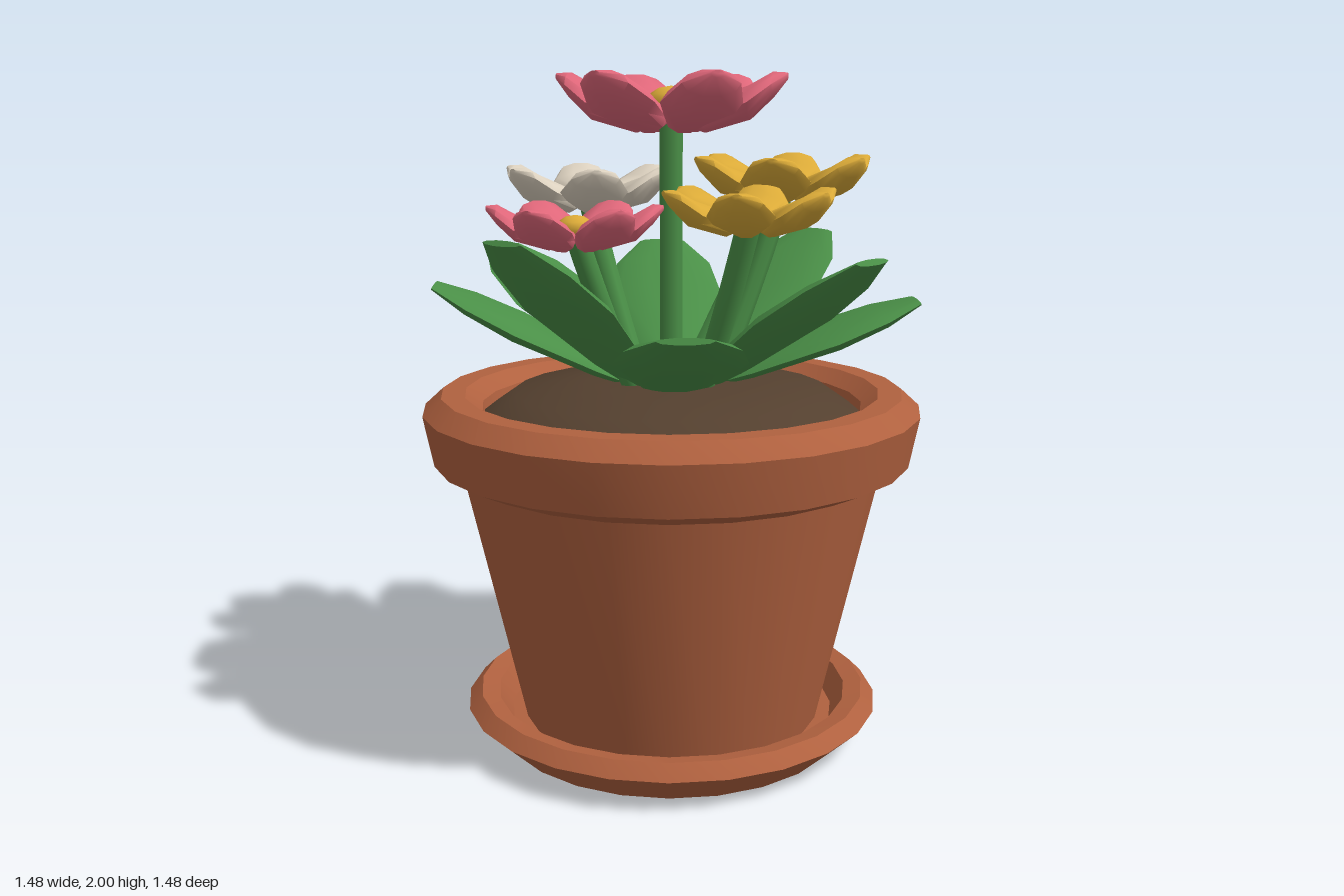
import * as THREE from 'three';
import { toCreasedNormals } from 'three/addons/utils/BufferGeometryUtils.js';

const material = (name, color) => {
  const m = new THREE.MeshStandardMaterial({ color });
  m.name = name;
  return m;
};

// Puffy blade along +x; each section is [x, centre height, half width, half thickness]
function bladeGeometry(sections, sides = 10) {
  const pos = [], index = [];
  for (const [x, y, w, h] of sections) {
    for (let j = 0; j < sides; j++) {
      const a = (j / sides) * Math.PI * 2;
      pos.push(x, y + h * Math.sin(a), w * Math.cos(a));
    }
  }
  const last = sections.length - 1;
  const start = pos.length / 3;
  pos.push(sections[0][0], sections[0][1], 0, sections[last][0], sections[last][1], 0);
  for (let j = 0; j < sides; j++) {
    const k = (j + 1) % sides;
    for (let i = 0; i < last; i++) {
      const a = i * sides, b = a + sides;
      index.push(a + j, b + j, b + k, a + j, b + k, a + k);
    }
    index.push(start, j, k, start + 1, last * sides + k, last * sides + j);
  }
  const g = new THREE.BufferGeometry();
  g.setAttribute('position', new THREE.Float32BufferAttribute(pos, 3));
  g.setIndex(index);
  return toCreasedNormals(g, 0.9);
}

function lathe(name, points, mat) {
  const profile = points.map(([r, y]) => new THREE.Vector2(r, y));
  const g = new THREE.LatheGeometry(profile, 24, Math.PI / 24);
  const mesh = new THREE.Mesh(toCreasedNormals(g, 0.6), mat);
  mesh.name = name;
  return mesh;
}

export function createModel() {
  const terracotta = material('terracotta', 0xb0613f);
  const earth = material('earth', 0x54402f);
  const green = material('leaf green', 0x4a8f47);
  const pink = material('petal pink', 0xe0677a);
  const yellow = material('petal yellow', 0xdcab38);
  const white = material('petal white', 0xddd2c0);

  const model = new THREE.Group();
  model.name = 'pottedFlowers';

  // Pot, saucer and soil
  model.add(
    lathe('saucer', [[0, 0], [0.53, 0], [0.635, 0.1], [0.595, 0.14], [0.54, 0.13], [0.5, 0.06], [0, 0.06]], terracotta),
    lathe('pot', [[0.455, 0.05], [0.63, 0.83], [0.715, 0.87], [0.745, 1.02], [0.69, 1.07],
      [0.62, 1.07], [0.57, 1.03], [0.555, 0.95]], terracotta),
    lathe('soil', [[0.57, 1.0], [0.47, 1.07], [0.25, 1.1], [0, 1.11]], earth),
  );

  // Ring of leaves: [tip radius, tip height]
  const leaves = [[0.71, 1.5], [0.72, 1.33], [0.66, 1.55], [0.7, 1.385],
    [0.75, 1.45], [0.67, 1.45], [0.7, 1.5], [0.735, 1.33]];
  leaves.forEach(([tipR, tipY], i) => {
    const baseR = 0.12, baseY = 1.09;
    const length = Math.hypot(tipR - baseR, tipY - baseY);
    const leaf = new THREE.Mesh(bladeGeometry([
      [0, 0, 0.05, 0.015],
      [0.18 * length, 0, 0.115, 0.03],
      [0.58 * length, 0, 0.185, 0.04],
      [0.82 * length, 0, 0.155, 0.03],
      [length, 0, 0.075, 0.01],
    ]), green);
    leaf.name = 'leaf' + (i + 1);
    const azimuth = THREE.MathUtils.degToRad(34 + i * 45);
    leaf.position.set(baseR * Math.cos(azimuth), baseY, baseR * Math.sin(azimuth));
    leaf.rotation.set(0, -azimuth, Math.atan2(tipY - baseY, tipR - baseR));
    model.add(leaf);
  });

  // Shared flower parts, one unit in radius
  const petalGeometry = bladeGeometry([
    [0.05, 0.17, 0.05, 0.07],
    [0.3, 0.15, 0.18, 0.14],
    [0.68, 0.27, 0.37, 0.15],
    [0.88, 0.42, 0.26, 0.11],
    [1.0, 0.49, 0.06, 0.03],
  ]);
  const buttonGeometry = new THREE.SphereGeometry(0.22, 8, 6).scale(1, 0.65, 1);

  // Flowers: x, underside y, z, radius, petal turn in degrees
  const flowers = [
    ['tallPinkFlower', pink, 0, 1.82, 0.01, 0.335, 0],
    ['whiteFlower', white, -0.295, 1.575, -0.225, 0.275, 47],
    ['backYellowFlower', yellow, 0.315, 1.61, -0.175, 0.28, 27],
    ['frontYellowFlower', yellow, 0.255, 1.55, 0.265, 0.25, 27],
    ['lowPinkFlower', pink, -0.23, 1.505, 0.275, 0.245, 11],
  ];
  for (const [name, mat, x, y, z, radius, turn] of flowers) {
    const flower = new THREE.Group();
    flower.name = name;
    flower.position.set(x, y, z);
    flower.scale.setScalar(radius);
    for (let i = 0; i < 6; i++) {
      const petal = new THREE.Mesh(petalGeometry, mat);
      petal.name = 'petal' + (i + 1);
      petal.rotation.y = THREE.MathUtils.degToRad(turn + i * 60);
      flower.add(petal);
    }
    const button = new THREE.Mesh(buttonGeometry, yellow);
    button.name = 'flowerCentre';
    button.position.y = 0.27;
    flower.add(button);

    // Stem leaning out from the middle of the pot
    const path = new THREE.QuadraticBezierCurve3(
      new THREE.Vector3(x * 0.35, 1.05, z * 0.35),
      new THREE.Vector3(x * 0.7, (1.05 + y) / 2, z * 0.7),
      new THREE.Vector3(x, y + 0.05, z),
    );
    const stem = new THREE.Mesh(new THREE.TubeGeometry(path, 6, 0.034, 8), green);
    stem.name = name + 'Stem';
    model.add(flower, stem);
  }
  return model;
}
